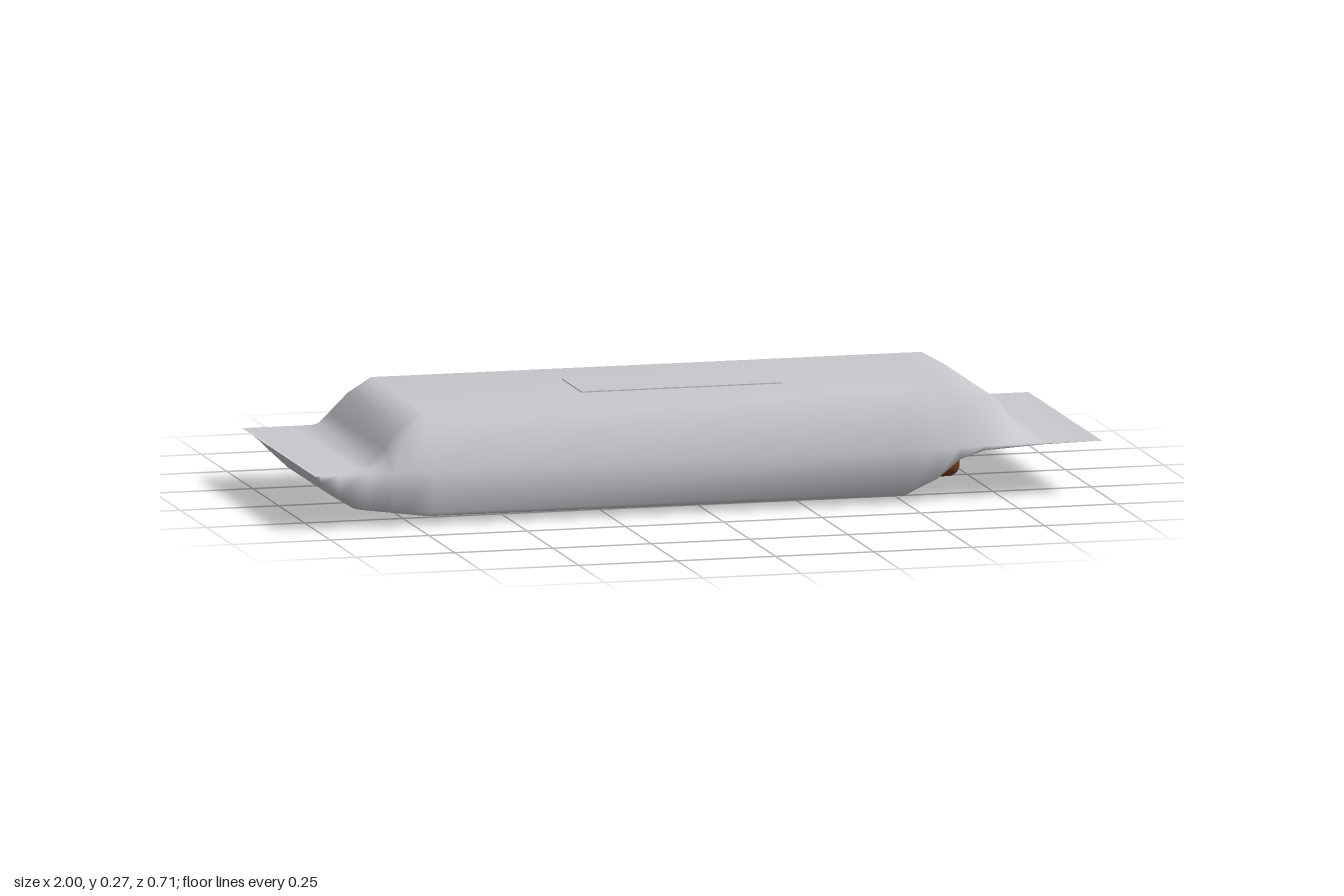
import * as THREE from 'three';
import { RoundedBoxGeometry } from 'three/addons/geometries/RoundedBoxGeometry.js';

const SEAM = 0.133, W = 0.355;

// Bulge profiles as [position, fraction of full height]
const topX = [[-1, 0.03], [-0.86, 0.04], [-0.82, 0.14], [-0.76, 0.72], [-0.7, 1], [0.7, 1], [0.76, 0.74], [0.82, 0.14], [0.87, 0.03], [1, 0]];
const topZ = [[-W, 0], [-0.3, 0.76], [-0.25, 1], [0.25, 1], [0.3, 0.76], [W, 0]];
const bottomX = [[-1, 0], [-0.985, 0.15], [-0.94, 0.48], [-0.88, 0.77], [-0.8, 0.86], [-0.7, 0.97], [0.51, 1], [0.58, 0.72], [0.64, 0.28], [0.7, 0.1], [0.85, 0.02], [1, 0]];
const bottomZ = [[W, 0.8], [0.3, 0.94], [0.25, 0.98], [-0.14, 1], [-0.19, 0.9], [-0.21, 0.7], [-0.26, 0.23], [-0.3, 0.1], [-W, 0]];

function sample(profile, t) {
  for (let i = 1; i < profile.length; i++) {
    const [a, fa] = profile[i - 1], [b, fb] = profile[i];
    if (t <= b) return fa + (fb - fa) * (t - a) / (b - a);
  }
  return profile[profile.length - 1][1];
}

// One sheet wrapped over the top, down the front wall and back underneath
function wrapperGeometry() {
  const xs = [...new Set([...topX, ...bottomX].map(p => p[0]))].sort((a, b) => a - b);
  const rows = topZ.length + bottomZ.length;
  const positions = [], index = [];
  for (const x of xs) {
    for (const [z, f] of topZ) positions.push(x, SEAM + 0.132 * sample(topX, x) * f, z);
    for (const [z, f] of bottomZ) positions.push(x, SEAM - 0.133 * sample(bottomX, x) * f, z);
  }
  for (let i = 0; i < xs.length - 1; i++) {
    for (let j = 0; j < rows - 1; j++) {
      const a = i * rows + j, b = a + rows;
      index.push(a, a + 1, b, b, a + 1, b + 1);
    }
  }
  const geometry = new THREE.BufferGeometry();
  geometry.setAttribute('position', new THREE.Float32BufferAttribute(positions, 3));
  geometry.setIndex(index);
  geometry.computeVertexNormals();
  return geometry;
}

export function createModel() {
  const foil = new THREE.MeshStandardMaterial({ color: 0xc6c8cc });
  foil.name = 'silver foil';
  foil.side = THREE.DoubleSide;
  const chocolate = new THREE.MeshStandardMaterial({ color: 0x6b3a1c });
  chocolate.name = 'chocolate brown';

  const model = new THREE.Group();
  model.name = 'wrappedBar';
  const add = (name, geometry, material, y) => {
    const mesh = new THREE.Mesh(geometry, material);
    mesh.name = name;
    mesh.position.y = y;
    model.add(mesh);
  };

  add('wrapper', wrapperGeometry(), foil, 0);
  // Bar inside, showing through the underside at the back and one end
  add('bar', new RoundedBoxGeometry(1.34, 0.15, 0.52, 5, 0.03), chocolate, 0.115);
  // Thin blank label on top
  add('label', new THREE.BoxGeometry(0.51, 0.004, 0.19), foil, 0.266);
  return model;
}
